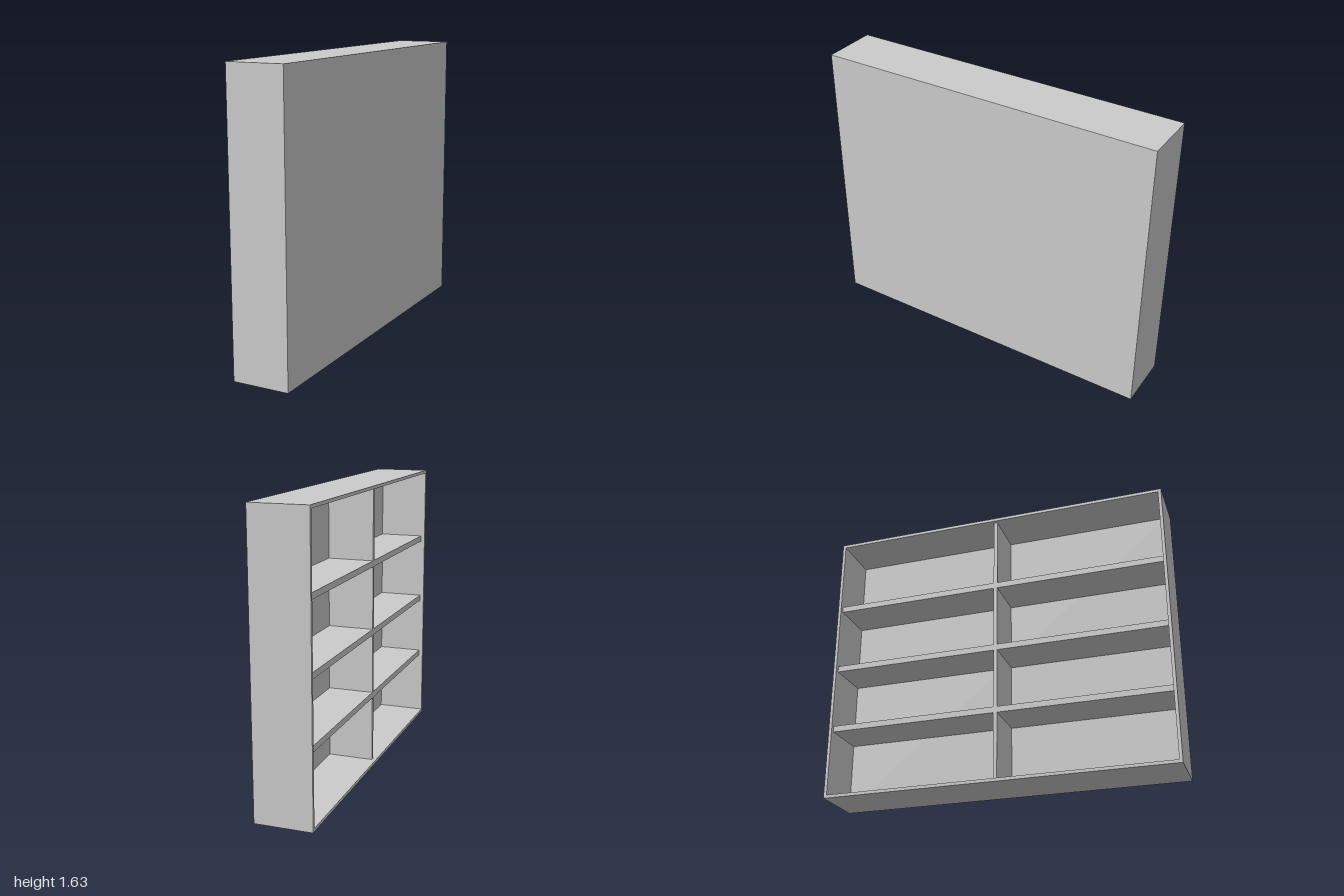
import * as THREE from 'three';

// Shelf unit: closed back panel on +x, open compartments facing -x.
const W = 0.325, H = 1.635, L = 2;          // depth (x), height (y), length (z)
const WALL = 0.018, BACK = 0.037;           // casing and back panel thickness
const SHELF = 0.035, DIVIDER = 0.022;       // inner board thickness
const RECESS = 0.023;                       // inner boards sit behind the rim
const SHELF_TOPS = [0.434, 0.812, 1.209];

export function createModel() {
  const group = new THREE.Group();
  const material = new THREE.MeshStandardMaterial({ color: 0xcccccc });

  // Board given by its extents along each axis
  const board = (name, [x0, x1], [y0, y1], [z0, z1]) => {
    const mesh = new THREE.Mesh(new THREE.BoxGeometry(x1 - x0, y1 - y0, z1 - z0), material);
    mesh.position.set((x0 + x1) / 2, (y0 + y1) / 2, (z0 + z1) / 2);
    mesh.name = name;
    group.add(mesh);
  };

  const open = -W / 2, inner = W / 2 - BACK;
  const zIn = L / 2 - WALL;
  const casing = [open, inner], inside = [open + RECESS, inner];

  // Outer casing
  board('backPanel', [inner, W / 2], [0, H], [-L / 2, L / 2]);
  board('bottomPanel', casing, [0, WALL], [-zIn, zIn]);
  board('topPanel', casing, [H - WALL, H], [-zIn, zIn]);
  board('frontSidePanel', casing, [0, H], [zIn, L / 2]);
  board('rearSidePanel', casing, [0, H], [-L / 2, -zIn]);

  // Shelves
  SHELF_TOPS.forEach((y, i) => board(`shelf${i + 1}`, inside, [y - SHELF, y], [-zIn, zIn]));

  // One central divider per level
  const floors = [WALL, ...SHELF_TOPS];
  const ceilings = [...SHELF_TOPS.map((y) => y - SHELF), H - WALL];
  floors.forEach((y, i) =>
    board(`divider${i + 1}`, inside, [y, ceilings[i]], [-DIVIDER / 2, DIVIDER / 2]));

  return group;
}
